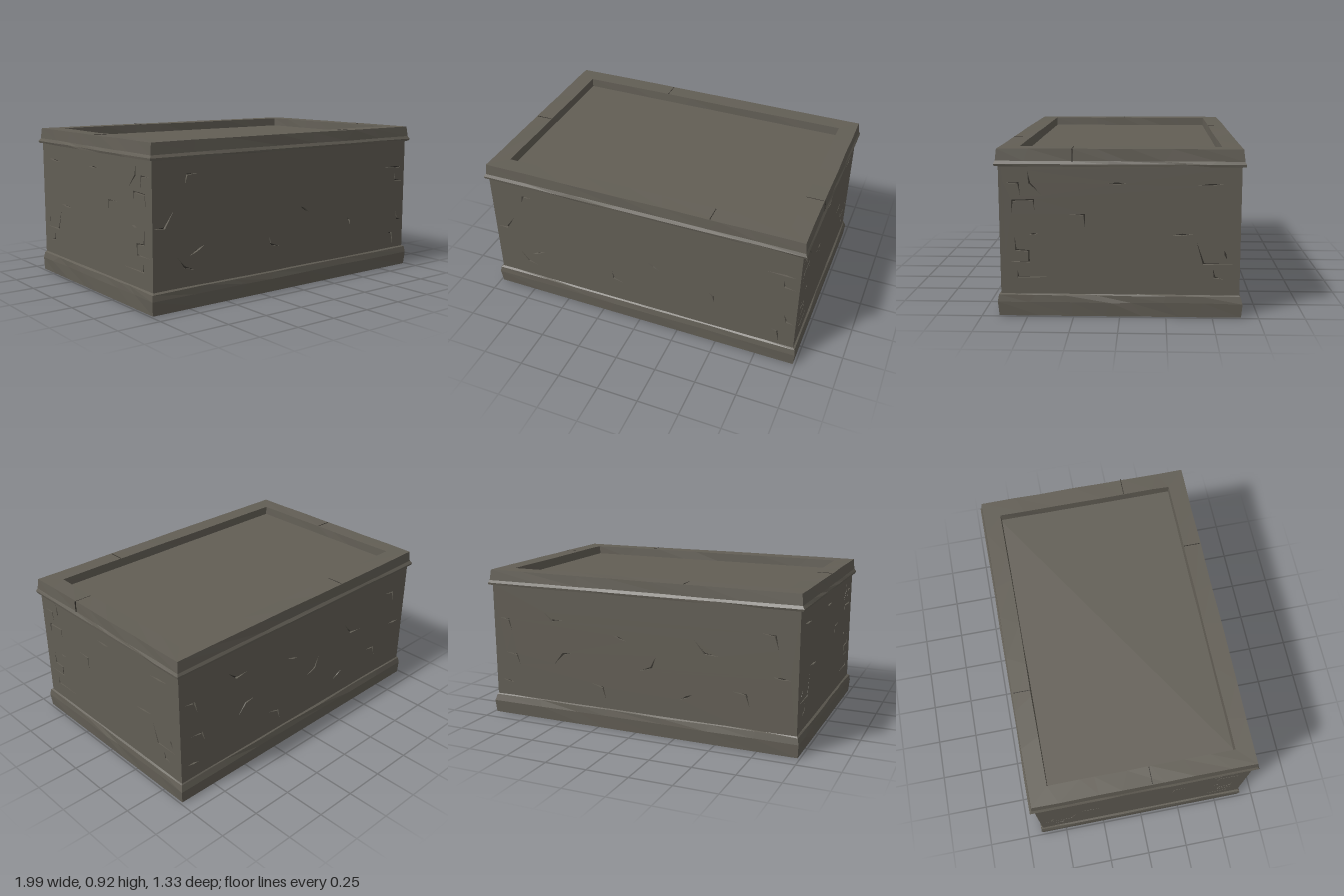
import * as THREE from 'three';

const HX = 0.975, HZ = 0.645, SKIN = 0.015, WALL_TOP = 0.825;

function seeded(seed) {
  return () => {
    seed = (seed * 16807) % 2147483647;
    return seed / 2147483647;
  };
}

// Lofts a profile of [outward offset, height, wear] around the rectangular walls.
function band(profile, seed) {
  const rnd = seeded(seed);
  const corners = [[1, 1], [1, -1], [-1, -1], [-1, 1]];
  const steps = 7, count = steps * 4;
  const pos = [], index = [];
  profile.forEach(([o, y, wear]) => {
    for (let c = 0; c < 4; c++) {
      const a = corners[c], b = corners[(c + 1) % 4];
      for (let i = 0; i < steps; i++) {
        const shift = i ? (rnd() - 0.5) * 0.08 : 0;
        const t = i / steps + shift;
        const d = o - rnd() * wear;
        pos.push((a[0] + (b[0] - a[0]) * t) * (HX + d), y - rnd() * wear * 0.7, (a[1] + (b[1] - a[1]) * t) * (HZ + d));
      }
    }
  });
  for (let r = 0; r < profile.length - 1; r++) {
    for (let i = 0; i < count; i++) {
      const p = r * count + i, q = r * count + (i + 1) % count;
      index.push(p, q, p + count, q, q + count, p + count);
    }
  }
  let geo = new THREE.BufferGeometry();
  geo.setAttribute('position', new THREE.Float32BufferAttribute(pos, 3));
  geo.setIndex(index);
  geo = geo.toNonIndexed();
  geo.computeVertexNormals();
  return geo;
}

// Tapered slit along a short polyline, used as a hole in a wall.
function crackHole(points, width) {
  const pts = points.map(([x, y]) => new THREE.Vector2(x, y));
  const left = [], right = [];
  for (let i = 1; i < pts.length - 1; i++) {
    const d1 = pts[i].clone().sub(pts[i - 1]).normalize();
    const d2 = pts[i + 1].clone().sub(pts[i]).normalize();
    const n = d1.add(d2).normalize();
    const side = new THREE.Vector2(-n.y, n.x).multiplyScalar(width);
    left.push(pts[i].clone().add(side));
    right.unshift(pts[i].clone().sub(side));
  }
  return new THREE.Path([pts[0], ...left, pts[pts.length - 1], ...right]);
}

// Wall skin with cracks cut through to the dark core.
function wallGeometry(half, cracks) {
  const shape = new THREE.Shape([[-half, 0.02], [half, 0.02], [half, WALL_TOP], [-half, WALL_TOP]].map(([x, y]) => new THREE.Vector2(x, y)));
  cracks.forEach((c) => {
    // a two point crack gets a middle so that it can widen
    const pts = c.length > 2 ? c : [c[0], [(c[0][0] + c[1][0]) / 2, (c[0][1] + c[1][1]) / 2], c[1]];
    shape.holes.push(crackHole(pts, 0.006));
  });
  return new THREE.ExtrudeGeometry(shape, { depth: SKIN, bevelEnabled: false });
}

const frontCracks = [
  [[-0.965, 0.46], [-0.9, 0.46], [-0.84, 0.55]],
  [[-0.77, 0.68], [-0.755, 0.735], [-0.69, 0.735]],
  [[-0.82, 0.29], [-0.77, 0.23], [-0.71, 0.21]],
  [[-0.74, 0.29], [-0.64, 0.34]],
  [[-0.18, 0.33], [-0.17, 0.28], [-0.1, 0.26]],
  [[0.06, 0.48], [0.13, 0.44]],
  [[0.45, 0.37], [0.475, 0.35], [0.48, 0.31]],
  [[0.78, 0.655], [0.89, 0.655], [0.95, 0.65]],
  [[0.88, 0.62], [0.89, 0.57], [0.96, 0.56]],
  [[0.9, 0.37], [0.92, 0.31], [0.965, 0.3]],
  [[0.83, 0.23], [0.87, 0.22], [0.885, 0.13]],
];

const backCracks = [
  [[-0.94, 0.62], [-0.87, 0.61], [-0.85, 0.54]],
  [[-0.9, 0.4], [-0.82, 0.39], [-0.8, 0.33]],
  [[-0.93, 0.22], [-0.85, 0.21]],
  [[-0.62, 0.68], [-0.56, 0.63], [-0.48, 0.64]],
  [[-0.55, 0.36], [-0.49, 0.43], [-0.42, 0.44]],
  [[-0.3, 0.27], [-0.22, 0.25], [-0.2, 0.18]],
  [[-0.15, 0.58], [-0.06, 0.55]],
  [[0.02, 0.38], [0.1, 0.41], [0.13, 0.48]],
  [[0.28, 0.24], [0.36, 0.28]],
  [[0.37, 0.6], [0.43, 0.53], [0.52, 0.52]],
  [[0.6, 0.33], [0.68, 0.32], [0.7, 0.25]],
  [[0.76, 0.68], [0.84, 0.67], [0.86, 0.59]],
  [[0.83, 0.44], [0.93, 0.43]],
];

const sideCracks = [
  [[-0.62, 0.73], [-0.54, 0.73], [-0.53, 0.66]],
  [[-0.49, 0.8], [-0.48, 0.73], [-0.41, 0.66]],
  [[-0.58, 0.565], [-0.575, 0.635], [-0.46, 0.64], [-0.455, 0.58]],
  [[-0.29, 0.565], [-0.19, 0.56], [-0.185, 0.48]],
  [[-0.565, 0.44], [-0.56, 0.365], [-0.49, 0.36], [-0.49, 0.3], [-0.62, 0.3]],
  [[-0.555, 0.26], [-0.55, 0.215], [-0.34, 0.215]],
  [[-0.49, 0.45], [-0.44, 0.455]],
  [[-0.07, 0.73], [0.04, 0.73]],
  [[0.27, 0.45], [0.4, 0.46]],
  [[0.41, 0.72], [0.55, 0.73]],
  [[0.41, 0.42], [0.45, 0.295], [0.62, 0.295]],
  [[0.56, 0.37], [0.575, 0.32]],
  [[0.5, 0.27], [0.51, 0.22], [0.56, 0.21]],
];

export function createModel() {
  const model = new THREE.Group();
  const stone = new THREE.MeshStandardMaterial({ color: 0x625e55 });
  stone.name = 'weathered stone';
  const joint = new THREE.MeshStandardMaterial({ color: 0x35322d });
  joint.name = 'dark joint';

  const add = (name, geo, mat, x = 0, y = 0, z = 0) => {
    const mesh = new THREE.Mesh(geo, mat);
    mesh.name = name;
    mesh.position.set(x, y, z);
    model.add(mesh);
    return mesh;
  };

  // Core seen through the cracks
  add('core', new THREE.BoxGeometry(2 * (HX - SKIN), 0.79, 2 * (HZ - SKIN)), joint, 0, 0.42, 0);

  // Four cracked walls
  const mirrored = sideCracks.map((c) => c.map(([x, y]) => [-x, y]));
  [
    ['frontWall', HX, HZ, frontCracks, 0],
    ['backWall', HX, HZ, backCracks, Math.PI],
    ['rightEndWall', HZ - SKIN, HX, sideCracks, Math.PI / 2],
    ['leftEndWall', HZ - SKIN, HX, mirrored, -Math.PI / 2],
  ].forEach(([name, half, out, cracks, turn]) => {
    const geo = wallGeometry(half, cracks);
    geo.translate(0, 0, out - SKIN);
    add(name, geo, stone).rotation.y = turn;
  });

  // Underside and worn plinth
  add('underside', new THREE.BoxGeometry(2 * HX + 0.02, 0.02, 2 * HZ + 0.02), stone, 0, 0.01, 0);
  add('plinth', band([[0.011, 0, 0], [0.018, 0.08, 0.007], [0.013, 0.118, 0.008], [-0.004, 0.126, 0.002]], 17), stone);

  // Overhanging parapet around a sunken roof
  add('parapet', band([
    [-0.02, 0.82, 0], [0.019, 0.822, 0.002], [0.022, 0.836, 0.004], [0.013, 0.852, 0.004],
    [0.007, 0.916, 0.004], [-0.1, 0.916, 0.004], [-0.104, 0.85, 0.003],
  ], 41), stone);
  add('roof', new THREE.BoxGeometry(2 * HX - 0.16, 0.05, 2 * HZ - 0.16), stone, 0, 0.837, 0);

  // Joints between the coping stones
  [[-0.925, 0.04, true], [0.925, 0.25, true], [0.44, 0.595, false], [-0.3, -0.595, false]].forEach(([x, z, end]) => {
    add('copingJoint', new THREE.BoxGeometry(end ? 0.1 : 0.004, 0.006, end ? 0.004 : 0.1), joint, x, 0.913, z);
  });
  add('copingFaceJoint', new THREE.BoxGeometry(0.006, 0.07, 0.005), joint, 0.984, 0.88, 0.25);

  return model;
}
